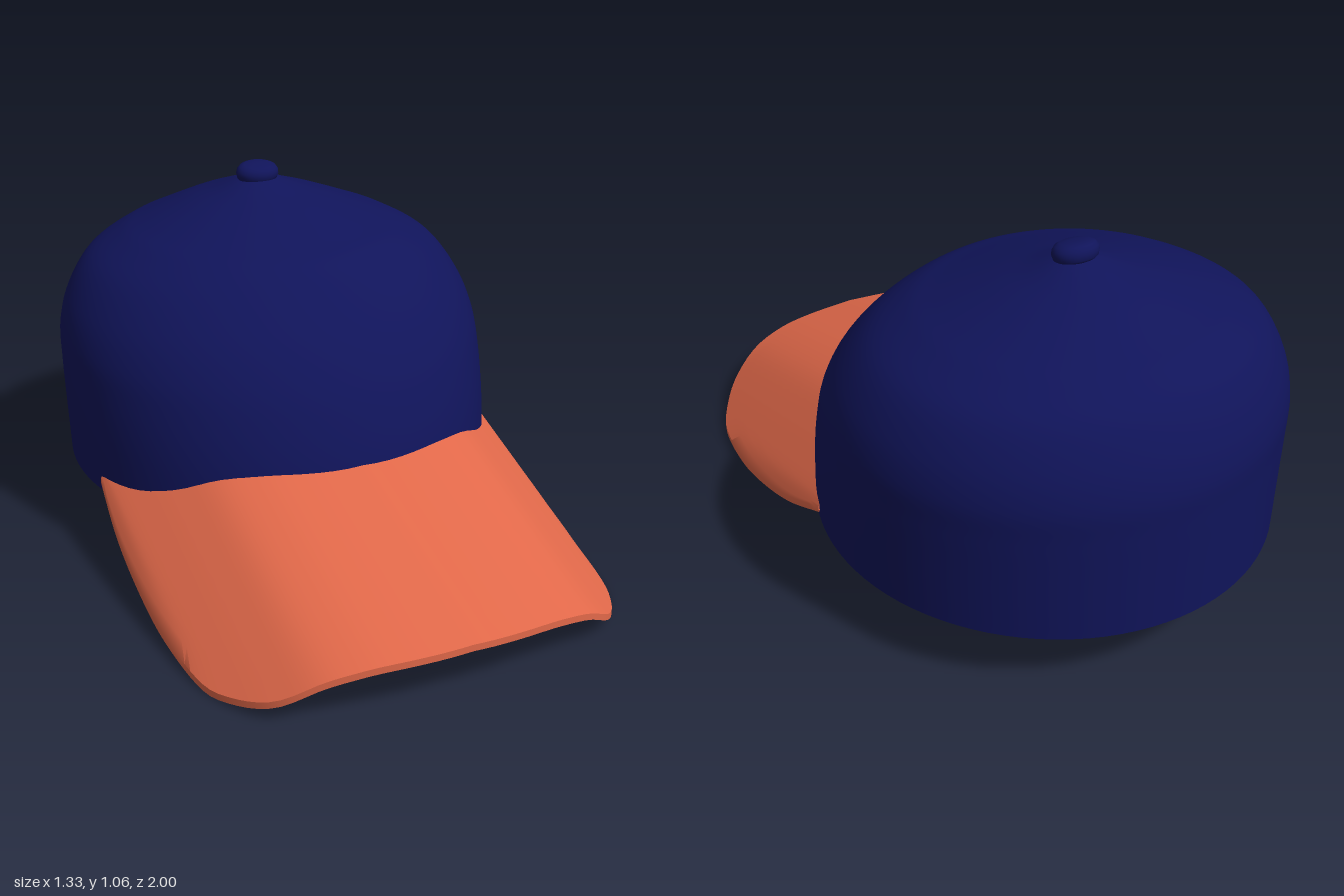
import * as THREE from 'three';
import { toCreasedNormals } from 'three/addons/utils/BufferGeometryUtils.js';

const navy = new THREE.MeshStandardMaterial({ color: 0x10145a });
const rust = new THREE.MeshStandardMaterial({ color: 0xe2694a });

// Smooth curve through (keys, values), read at k
function smooth(keys, values, k) {
  const n = keys.length;
  let i = 0;
  while (i < n - 2 && k > keys[i + 1]) i++;
  const slope = (j) => {
    const a = Math.max(j - 1, 0), b = Math.min(j + 1, n - 1);
    return (values[b] - values[a]) / (keys[b] - keys[a]);
  };
  const h = keys[i + 1] - keys[i], t = (k - keys[i]) / h, t2 = t * t, t3 = t2 * t;
  return (2 * t3 - 3 * t2 + 1) * values[i] + (t3 - 2 * t2 + t) * h * slope(i)
    + (3 * t2 - 2 * t3) * values[i + 1] + (t3 - t2) * h * slope(i + 1);
}

// Solid skin over a stack of closed rings, with both ends capped
function loft(rings, crease) {
  const n = rings[0].length, pos = rings.flat(2), index = [];
  for (let i = 0; i < rings.length - 1; i++) {
    for (let j = 0; j < n; j++) {
      const a = i * n + j, b = i * n + (j + 1) % n;
      index.push(a, b, b + n, a, b + n, a + n);
    }
  }
  for (const end of [0, rings.length - 1]) {
    const centre = pos.length / 3;
    for (let c = 0; c < 3; c++) pos.push(rings[end].reduce((s, p) => s + p[c], 0) / n);
    for (let j = 0; j < n; j++) {
      const a = end * n + j, b = end * n + (j + 1) % n;
      if (end) index.push(centre, a, b);
      else index.push(centre, b, a);
    }
  }
  const geo = new THREE.BufferGeometry();
  geo.setAttribute('position', new THREE.Float32BufferAttribute(pos, 3));
  geo.setIndex(index);
  return toCreasedNormals(geo, crease);
}

// Crown levels: height, half width, front z, back z
const levels = [
  [0.195, 0.66, 0.375, -1], [0.37, 0.664, 0.34, -1], [0.5, 0.664, 0.295, -1],
  [0.6, 0.658, 0.245, -0.998], [0.7, 0.625, 0.175, -0.972], [0.8, 0.555, 0.08, -0.92],
  [0.865, 0.45, 0, -0.85], [0.9, 0.365, -0.09, -0.785], [0.95, 0.23, -0.23, -0.68],
  [0.98, 0.14, -0.32, -0.6], [1.01, 0.06, -0.4, -0.51], [1.022, 0.01, -0.44, -0.46],
];

function crownGeometry() {
  const keys = levels.map((_, i) => i), rings = [], steps = 66, sides = 96;
  for (let s = 0; s <= steps; s++) {
    const k = s / steps * (levels.length - 1);
    const [y, w, front, back] = [0, 1, 2, 3].map((c) => smooth(keys, levels.map((l) => l[c]), k));
    rings.push(Array.from({ length: sides }, (_, j) => {
      const a = j / sides * Math.PI * 2;
      return [w * Math.sin(a), y, (front + back) / 2 + (front - back) / 2 * Math.cos(a)];
    }));
  }
  return loft(rings, 0.8);
}

// Arched brim, sloping down to the front
const archX = [0, 0.2, 0.3, 0.4, 0.5, 0.585, 0.625, 0.64, 0.66];
const archY = [0.372, 0.36, 0.343, 0.305, 0.228, 0.153, 0.115, 0.095, 0.06];
const brimHeight = (x, z) => smooth(archX, archY, Math.abs(x)) - 0.3 * (z - 0.34);

function brimGeometry() {
  const half = [[0.642, -0.14], [0.656, 0.05], [0.658, 0.25], [0.65, 0.45], [0.625, 0.65],
    [0.585, 0.76], [0.5, 0.88], [0.38, 0.945], [0.2, 0.987]];
  const outline = new THREE.SplineCurve([
    ...half.map(([x, z]) => new THREE.Vector2(-x, z)),
    new THREE.Vector2(0, 1),
    ...half.slice().reverse().map(([x, z]) => new THREE.Vector2(x, z)),
  ]);
  const rings = [], steps = 100, rows = 12, thick = 0.02;
  for (let s = 0; s <= steps; s++) {
    const outer = outline.getPointAt(s / steps);
    const a = (s / steps * 2 - 1) * THREE.MathUtils.degToRad(74);
    const inner = new THREE.Vector2(0.645 * Math.sin(a), -0.31 + 0.635 * Math.cos(a));
    const top = [];
    for (let r = 0; r <= rows; r++) {
      const p = inner.clone().lerp(outer, r / rows);
      top.push([p.x, brimHeight(p.x, p.y), p.y]);
    }
    const under = top.map(([x, y, z]) => [x, y - thick, z]).reverse();
    rings.push([...top, ...under]);
  }
  return loft(rings, 0.7);
}

// Rounded button profile
function buttonGeometry() {
  const profile = [[0, -0.025], [0.055, -0.025], [0.064, -0.018], [0.068, -0.004], [0.066, 0.008],
    [0.058, 0.019], [0.044, 0.025], [0.02, 0.027], [0, 0.027]];
  return new THREE.LatheGeometry(profile.map(([x, y]) => new THREE.Vector2(x, y)), 40);
}

export function createModel() {
  const cap = new THREE.Group();
  cap.name = 'cap';
  const add = (name, geometry, material) => {
    const mesh = new THREE.Mesh(geometry, material);
    mesh.name = name;
    cap.add(mesh);
    return mesh;
  };
  add('crown', crownGeometry(), navy);
  add('brim', brimGeometry(), rust);
  const button = add('button', buttonGeometry(), navy);
  button.position.set(0, 1.03, -0.45);
  button.rotation.x = 0.2;
  button.scale.z = 0.77;
  return cap;
}
